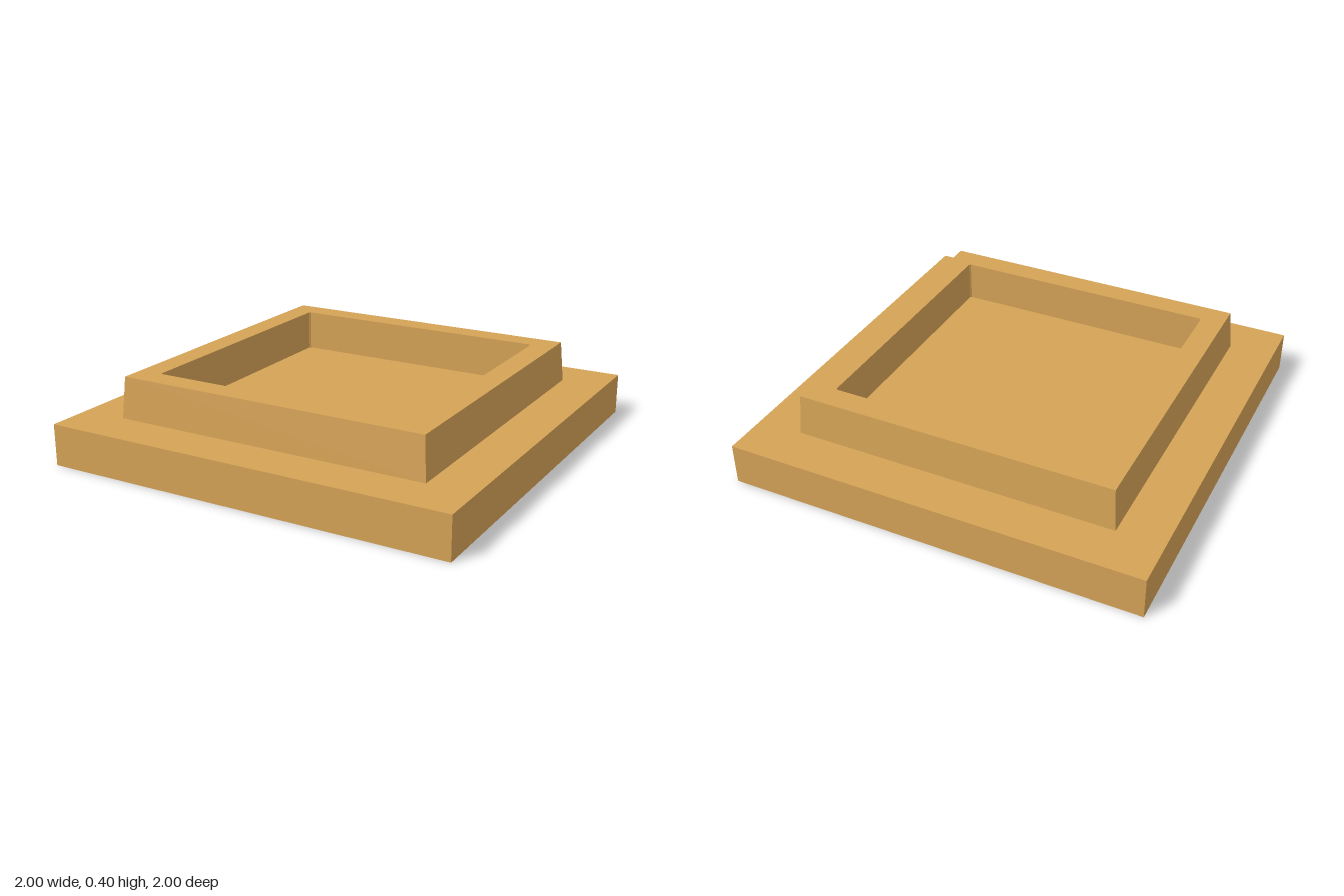
import * as THREE from 'three';

// Traces a square of half-width h with corners cut by c
function traceSquare(path, h, c = 0) {
  path.moveTo(-h + c, -h);
  path.lineTo(h - c, -h);
  if (c) path.lineTo(h, -h + c);
  path.lineTo(h, h - c);
  if (c) path.lineTo(h - c, h);
  path.lineTo(-h + c, h);
  if (c) path.lineTo(-h, h - c);
  path.lineTo(-h, -h + c);
  path.closePath();
  return path;
}

export function createModel() {
  const model = new THREE.Group();
  model.name = 'squareTray';
  const tan = new THREE.MeshStandardMaterial({ color: 0xd4a256 });
  tan.name = 'warm tan';

  // Square base slab; its top is also the floor of the recess
  const base = new THREE.Mesh(new THREE.BoxGeometry(2, 0.2, 2), tan);
  base.name = 'baseSlab';
  base.position.y = 0.1;
  model.add(base);

  // Raised rim with an upright square opening
  const shape = traceSquare(new THREE.Shape(), 0.78);
  shape.holes.push(traceSquare(new THREE.Path(), 0.65, 0.008));
  const geometry = new THREE.ExtrudeGeometry(shape, { depth: 0.2, bevelEnabled: false });
  geometry.rotateX(-Math.PI / 2);

  // Lean the outer walls inward toward the top
  const p = geometry.attributes.position;
  for (let i = 0; i < p.count; i++) {
    if (Math.abs(p.getX(i)) > 0.7 && p.getY(i) > 0.1) {
      p.setX(i, Math.sign(p.getX(i)) * 0.765);
      p.setZ(i, Math.sign(p.getZ(i)) * 0.765);
    }
  }
  geometry.computeVertexNormals();
  const rim = new THREE.Mesh(geometry, tan);
  rim.name = 'raisedRim';
  rim.position.y = 0.2;
  model.add(rim);

  return model;
}
